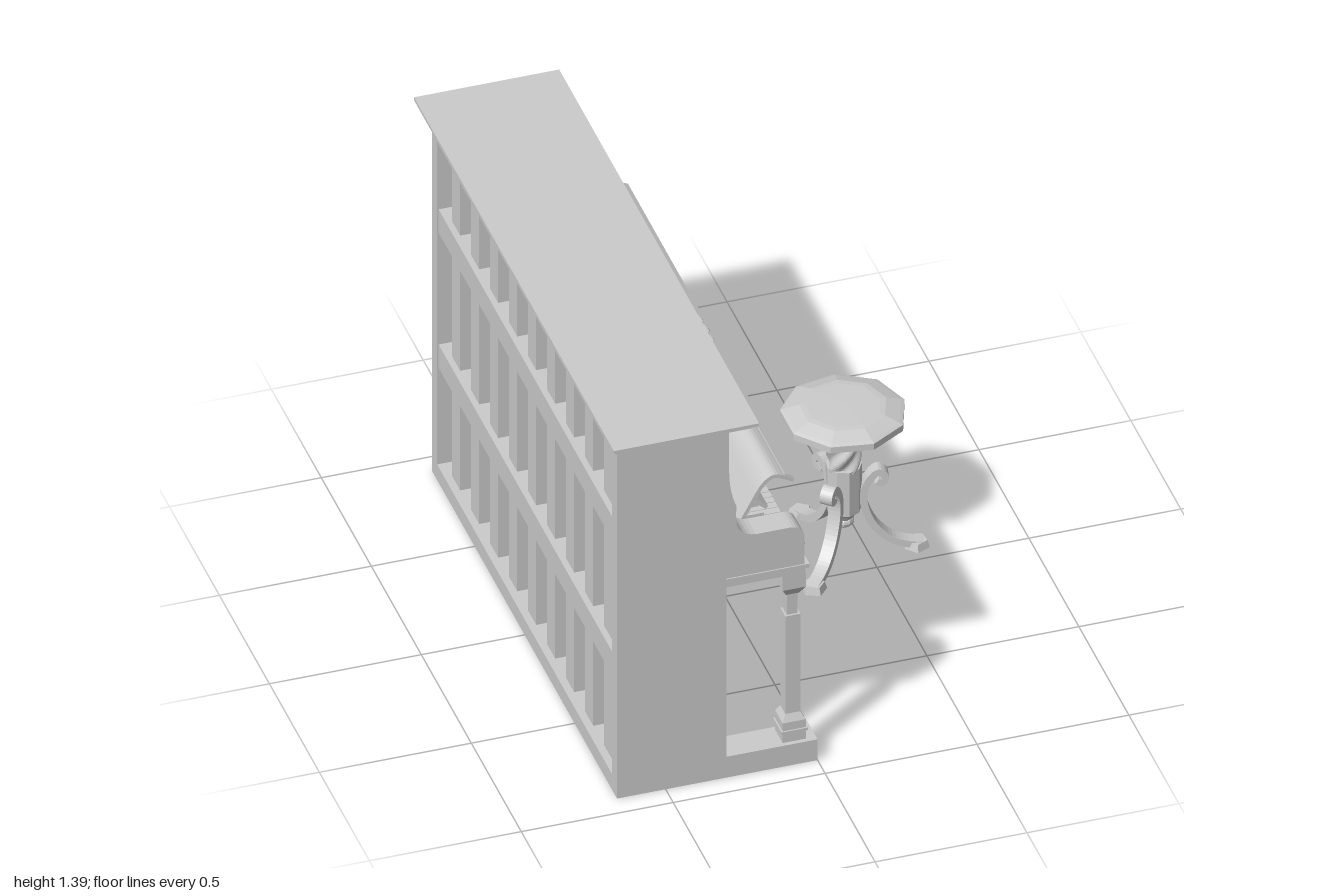
import * as THREE from 'three';

const mat = new THREE.MeshStandardMaterial({ color: 0xcccccc, flatShading: true });
const V = (x, y) => new THREE.Vector2(x, y);

function add(parent, name, geo, x = 0, y = 0, z = 0) {
  const m = new THREE.Mesh(geo, mat);
  m.name = name;
  m.position.set(x, y, z);
  parent.add(m);
  return m;
}

// Box given by its limits on each axis
function block(parent, name, x0, x1, y0, y1, z0, z1) {
  return add(parent, name, new THREE.BoxGeometry(x1 - x0, y1 - y0, z1 - z0),
    (x0 + x1) / 2, (y0 + y1) / 2, (z0 + z1) / 2);
}

function extrude(shape, depth) {
  const g = new THREE.ExtrudeGeometry(shape, { depth, bevelEnabled: false, curveSegments: 8 });
  return g.translate(0, 0, -depth / 2);
}

// Flat strip of a given thickness that follows a smooth curve through the points
function ribbon(points, thick, steps) {
  const curve = new THREE.SplineCurve(points.map(p => V(p[0], p[1])));
  const a = [], b = [];
  for (let i = 0; i <= steps; i++) {
    const p = curve.getPoint(i / steps), t = curve.getTangent(i / steps);
    a.push(V(p.x - t.y * thick / 2, p.y + t.x * thick / 2));
    b.unshift(V(p.x + t.y * thick / 2, p.y - t.x * thick / 2));
  }
  return new THREE.Shape([...a, ...b]);
}

// Points of a spiral, angles in degrees
function spiral(cx, cy, r0, r1, a0, a1, n = 12) {
  return Array.from({ length: n + 1 }, (_, i) => {
    const t = i / n, r = r0 + (r1 - r0) * t, a = (a0 + (a1 - a0) * t) * Math.PI / 180;
    return [cx + r * Math.cos(a), cy + r * Math.sin(a)];
  });
}

function buildCase(g) {
  // Core with a notch for the pedals
  const s = new THREE.Shape([V(-.925, 0), V(-.13, 0), V(-.1, .12), V(.1, .12), V(.13, 0),
    V(.925, 0), V(.925, 1.36), V(-.925, 1.36)]);
  add(g, 'frontCase', extrude(s, .14), -.37, 0, 0).rotation.y = Math.PI / 2;
  block(g, 'soundboard', -.58, -.44, 0, 1.36, -.925, .925);

  // Open back: frame, posts and rails
  for (const e of [-1, 1]) block(g, 'backStile', -.66, -.58, 0, 1.36, e * .9 - .025, e * .9 + .025);
  for (const [y0, y1, x] of [[0, .06, -.66], [.43, .52, -.655], [.95, 1.04, -.655], [1.3, 1.36, -.66]])
    block(g, 'backRail', x, -.58, y0, y1, -.875, .875);
  for (let i = -4; i <= 4; i++) block(g, 'backPost', -.635, -.58, .06, 1.3, i * .19 - .04, i * .19 + .04);

  // Stepped lid
  block(g, 'lidMoulding', -.68, -.23, 1.355, 1.372, -.965, .965);
  block(g, 'lidStep', -.69, -.222, 1.372, 1.384, -.985, .985);
  block(g, 'lid', -.695, -.217, 1.384, 1.395, -1, 1);

  // Lower panel moulding
  const frame = new THREE.Shape([V(-.69, .235), V(.69, .235), V(.69, .59), V(-.69, .59)]);
  frame.holes.push(new THREE.Path([V(-.665, .26), V(-.665, .565), V(.665, .565), V(.665, .26)]));
  add(g, 'lowerPanelFrame', extrude(frame, .008), -.298, 0, 0).rotation.y = Math.PI / 2;
  for (const e of [-1, 1]) block(g, 'panelStrip', -.302, -.296, .19, .63, e * .733 - .004, e * .733 + .004);
}

function buildCarving(g) {
  const carve = (pts, w, steps) => {
    add(g, 'carving', extrude(ribbon(pts, w, steps), .006), -.298, 0, 0).rotation.y = Math.PI / 2;
  };
  carve(spiral(0, 1.36, .36, .36, 180, 360, 16).map(([z, y]) => [z, 1.355 + (y - 1.36) * .52]), .01, 40);
  for (const e of [-1, 1]) {
    const half = (pts, w, n) => carve(pts.map(([z, y]) => [z * e, y]), w, n);
    half([[0, 1.14], [.1, 1.12], [.19, 1.065], [.25, 1.08], [.31, 1.15],
      ...spiral(.51, 1.23, .11, .03, -145, 300)], .011, 70);
    half([[.19, 1.065], [.24, 1.13], ...spiral(.33, 1.13, .035, .012, 200, -120, 8)], .009, 36);
    half([[.6, 1.17], ...spiral(.61, 1.12, .035, .01, 60, -260, 8)], .009, 36);
    half([[.56, 1.31], ...spiral(.62, 1.28, .035, .01, 110, -200, 8)], .009, 36);
    half([[0, 1.25], [.04, 1.245], ...spiral(.085, 1.27, .03, .01, -120, 200, 8)], .009, 36);
  }
}

function buildKeyboard(g) {
  // Keybed
  block(g, 'keybed', -.3, -.035, .72, .745, -.91, .91);
  block(g, 'keybedEdge', -.3, -.025, .743, .758, -.92, .92);
  block(g, 'keySlip', -.065, -.042, .757, .79, -.83, .83);
  block(g, 'keyBase', -.22, -.06, .757, .787, -.83, .83);
  block(g, 'backShelf', -.3, -.215, .757, .905, -.83, .83);

  // Keys: 52 naturals, sharps in the repeating pattern of seven
  const pitch = 1.49 / 52;
  for (let i = 0; i < 52; i++) {
    const z = .745 - (i + .5) * pitch;
    block(g, 'whiteKey', -.216, -.052, .787, .825, z - pitch * .46, z + pitch * .46);
    if (i < 51 && ![1, 4].includes(i % 7))
      block(g, 'blackKey', -.216, -.11, .82, .84, z - pitch * .75, z - pitch * .25);
  }

  // Side arms with upper brackets, end blocks and rosettes
  const arm = new THREE.Shape();
  arm.moveTo(-.31, .755);
  arm.lineTo(-.04, .755);
  arm.lineTo(-.04, .86);
  arm.quadraticCurveTo(-.042, .908, -.09, .908);
  arm.lineTo(-.2, .908);
  arm.quadraticCurveTo(-.262, .915, -.266, .98);
  arm.lineTo(-.264, 1.03);
  arm.quadraticCurveTo(-.288, 1.09, -.288, 1.17);
  arm.lineTo(-.288, 1.358);
  arm.lineTo(-.31, 1.358);
  for (const e of [-1, 1]) {
    add(g, 'sideArm', extrude(arm, .088), 0, 0, e * .872);
    block(g, 'keyBlock', -.216, -.052, .785, .835, e * .79 - .04, e * .79 + .04);
    add(g, 'rosette', new THREE.CylinderGeometry(.014, .024, .016, 12), -.037, .815, e * .872).rotation.z = -Math.PI / 2;
  }

  // Opened fallboard
  add(g, 'fallboard', extrude(ribbon([[-.218, .905], [-.185, .965], [-.155, 1.018], [-.128, 1.045],
    [-.1, 1.05], [-.048, 1.024]], .013, 20), 1.66));
  add(g, 'fallboardLip', extrude(ribbon([[-.178, .975], [-.155, .955], [-.136, .938]], .013, 4), 1.66));
  block(g, 'fallboardEdge', -.08, -.05, 1.028, 1.044, -.825, .825).rotation.z = -.46;
  for (const [z, r] of [[-.055, .02], [0, .025], [.055, .02]])
    add(g, 'fallboardOrnament', new THREE.SphereGeometry(r, 8, 6), -.066, 1.044, z).scale.set(.5, .25, 1.2);
}

function buildLegs(g) {
  // Stacked square sections: y0, y1, half width at bottom and top
  const parts = [[.08, .115, .038, .038], [.115, .125, .043, .043], [.125, .155, .038, .038],
    [.155, .18, .038, .025], [.18, .555, .025, .025], [.555, .64, .018, .018],
    [.635, .665, .022, .038], [.665, .72, .038, .038]];
  for (const e of [-1, 1]) {
    block(g, 'foot', -.305, 0, 0, .08, e * .872 - .053, e * .872 + .053);
    for (const [y0, y1, a, b] of parts) {
      const geo = new THREE.CylinderGeometry(b * Math.SQRT2, a * Math.SQRT2, y1 - y0, 4).rotateY(Math.PI / 4);
      add(g, 'frontLeg', geo, -.072, (y0 + y1) / 2, e * .872);
    }
  }
}

function buildPedals(g) {
  const s = ribbon([[-.43, .07], [-.32, .068], [-.24, .05], [-.17, .048]], .016, 10);
  for (const z of [-.075, 0, .075]) {
    add(g, 'pedal', extrude(s, .028), 0, 0, z);
    add(g, 'pedalTip', new THREE.CylinderGeometry(.022, .022, .016, 10), -.17, .048, z);
  }
}

function buildStool(g) {
  // Nine-sided seat
  const seat = [[0, .505], [.185, .505], [.2, .512], [.2, .535], [.188, .54], [.14, .556], [.12, .558], [0, .56]];
  add(g, 'seat', new THREE.LatheGeometry(seat.map(p => V(...p)), 9, Math.PI / 2));

  // Twisted screw
  const screw = new THREE.CylinderGeometry(.05, .05, .14, 32, 20);
  const p = screw.attributes.position;
  for (let i = 0; i < p.count; i++) {
    const x = p.getX(i), y = p.getY(i), z = p.getZ(i);
    const k = 1 + .13 * Math.cos(4 * Math.atan2(z, x) + y * 75);
    p.setXYZ(i, x * k, y, z * k);
  }
  screw.computeVertexNormals();
  add(g, 'screw', screw, 0, .395, 0);

  // Neck, collar, hub and ball
  add(g, 'neck', new THREE.CylinderGeometry(.03, .03, .05, 10), 0, .49, 0);
  add(g, 'collar', new THREE.CylinderGeometry(.06, .055, .022, 10), 0, .469, 0);
  const hub = [[0, .125], [.025, .125], [.04, .15], [.056, .165], [.058, .335], [0, .335]];
  add(g, 'hub', new THREE.LatheGeometry(hub.map(q => V(...q)), 9));
  add(g, 'ball', new THREE.SphereGeometry(.034, 10, 8), 0, .12, 0).scale.y = .7;

  // Three scrolled legs
  const path = [...spiral(.11, .278, .01, .026, -130, 110, 6), [.075, .27], [.06, .22], [.068, .16],
    [.095, .1], [.14, .05], [.19, .025], [.25, .014]];
  for (let i = 0; i < 3; i++) {
    const leg = new THREE.Group();
    leg.name = 'stoolLeg';
    leg.rotation.y = -(12 + i * 120) * Math.PI / 180;
    add(leg, 'legScroll', extrude(ribbon(path, .024, 48), .042));
    add(leg, 'legFoot', new THREE.CylinderGeometry(.034, .042, .026, 5), .23, .013, 0);
    g.add(leg);
  }
  g.position.set(.43, 0, -.12);
}

export function createModel() {
  const model = new THREE.Group();
  const sections = { pianoCase: buildCase, carvedPanel: buildCarving, keyboard: buildKeyboard,
    pianoLegs: buildLegs, pedals: buildPedals, stool: buildStool };
  for (const [name, build] of Object.entries(sections)) {
    const g = new THREE.Group();
    g.name = name;
    build(g);
    model.add(g);
  }
  return model;
}
